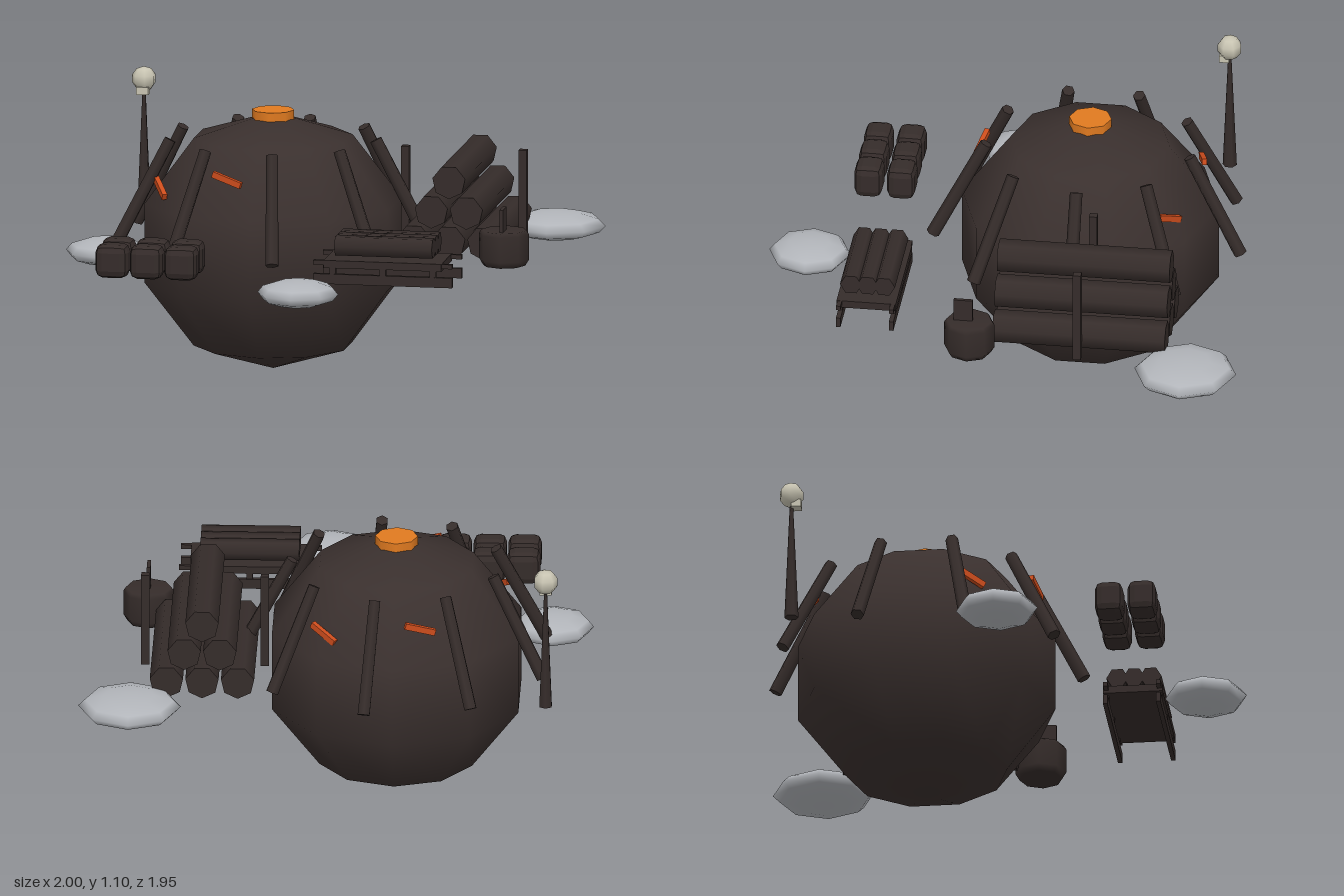
import * as THREE from 'three';
import { RoundedBoxGeometry } from 'three/addons/geometries/RoundedBoxGeometry.js';

const material = (name, color) => Object.assign(new THREE.MeshStandardMaterial({ color }), { name });

export function createModel() {
  const hide = material('dark hide', 0x3a302e);
  const wood = material('dark wood', 0x352c2a);
  const ember = material('ember orange', 0xe07a20);
  const paint = material('red paint', 0xcc4c1c);
  const bone = material('bone', 0xc8c4b2);
  const snow = material('pale grey', 0xb2b5ba);

  const model = new THREE.Group();
  model.name = 'camp';
  const add = (name, geometry, mat, x, y, z, parent = model) => {
    const mesh = new THREE.Mesh(geometry, mat);
    mesh.name = name;
    mesh.position.set(x, y, z);
    parent.add(mesh);
    return mesh;
  };
  const group = (name, x = 0, y = 0, z = 0) => {
    const g = new THREE.Group();
    g.name = name;
    g.position.set(x, y, z);
    model.add(g);
    return g;
  };

  // Round hut with glowing smoke hole
  const hut = group('hut', -0.237, 0, -0.262);
  const dome = add('dome', new THREE.SphereGeometry(0.536, 10, 5), hide, 0, 0.52, 0, hut);
  dome.scale.y = 0.957;
  dome.rotation.y = Math.PI / 2;
  add('smokeHole', new THREE.CylinderGeometry(0.084, 0.084, 0.045, 8), ember, 0, 1.02, 0, hut);

  // Nine poles leaning on the hut
  const up = new THREE.Vector3(0, 1, 0);
  for (let i = 0; i < 9; i++) {
    const a = (i * Math.PI * 2) / 9;
    const bottom = new THREE.Vector3(Math.cos(a) * 0.62, 0.535, Math.sin(a) * 0.62);
    const top = new THREE.Vector3(Math.cos(a) * 0.41, 0.935, Math.sin(a) * 0.41);
    const dir = top.clone().sub(bottom);
    const mid = bottom.clone().add(top).multiplyScalar(0.5);
    const pole = add('leaningPole', new THREE.CylinderGeometry(0.025, 0.027, dir.length(), 6), wood, mid.x, mid.y, mid.z, hut);
    pole.quaternion.setFromUnitVectors(up, dir.normalize());
  }

  // Slanting painted marks: angle in degrees, radius, height, slant
  for (const [deg, r, y, slant] of [[103, 0.455, 0.84, -0.3], [152, 0.465, 0.755, -0.45],
    [256, 0.445, 0.83, -0.3], [308, 0.445, 0.77, -0.4]]) {
    const a = THREE.MathUtils.degToRad(deg);
    const mark = add('paintMark', new THREE.BoxGeometry(0.125, 0.025, 0.02), paint, Math.cos(a) * r, y, Math.sin(a) * r, hut);
    mark.rotation.set(0, Math.PI / 2 - a, slant, 'YXZ');
  }

  // Pyramid of logs held by two stakes
  const logPile = group('logPile', 0.513, 0, -0.345);
  for (let row = 0; row < 3; row++) {
    for (let i = 0; i < 3 - row; i++) {
      const log = add('log', new THREE.CylinderGeometry(0.067, 0.067, 0.685, 7), wood,
        (i - (2 - row) / 2) * 0.14, 0.585 + row * 0.12, 0, logPile);
      log.rotation.x = Math.PI / 2;
    }
  }
  for (const s of [-1, 1]) add('stake', new THREE.BoxGeometry(0.032, 0.38, 0.032), wood, s * 0.235, 0.71, 0, logPile);

  // Chopping block with a blade stuck in it
  const block = [[0, 0.52], [0.085, 0.52], [0.1, 0.545], [0.1, 0.645], [0.09, 0.66], [0, 0.66]]
    .map(([x, y]) => new THREE.Vector2(x, y));
  add('choppingBlock', new THREE.LatheGeometry(block, 8), wood, 0.75, 0, 0.083);
  add('blade', new THREE.BoxGeometry(0.015, 0.1, 0.075), wood, 0.75, 0.7, 0.107);

  // Sled carrying three small logs
  const sled = group('sled', 0.365, 0, 0.513);
  add('deck', new THREE.BoxGeometry(0.47, 0.03, 0.235), wood, 0, 0.605, 0, sled);
  for (const s of [-1, 1]) {
    add('runner', new THREE.BoxGeometry(0.555, 0.04, 0.018), wood, 0, 0.545, s * 0.105, sled);
    add('sideRail', new THREE.BoxGeometry(0.555, 0.018, 0.018), wood, 0, 0.61, s * 0.105, sled);
    for (const x of [-0.2, 0, 0.2]) add('strut', new THREE.BoxGeometry(0.025, 0.04, 0.016), wood, x, 0.575, s * 0.105, sled);
  }
  for (const z of [-0.066, 0, 0.066]) {
    const log = add('smallLog', new THREE.CylinderGeometry(0.043, 0.043, 0.39, 6), wood, 0, 0.673, z, sled);
    log.rotation.z = Math.PI / 2;
  }

  // Six bevelled bundles
  const bundle = new RoundedBoxGeometry(0.13, 0.132, 0.11, 1, 0.03);
  bundle.computeVertexNormals();
  for (const x of [-0.71, -0.573, -0.435])
    for (const z of [0.512, 0.642]) add('bundle', bundle, wood, x, 0.593, z);

  // Skull on a tapered stake
  const totem = group('skullStake', -0.84, 0, -0.732);
  add('stakeShaft', new THREE.CylinderGeometry(0.007, 0.028, 0.48, 6), wood, 0, 0.765, 0, totem);
  add('skull', new THREE.SphereGeometry(0.05, 7, 5), bone, 0, 1.055, 0, totem);
  add('jaw', new THREE.BoxGeometry(0.048, 0.03, 0.04), bone, 0, 1.012, 0.02, totem);

  // Flat snow mounds
  for (const [x, z, r] of [[0.795, -0.78, 0.202], [0.06, 0.81, 0.161], [-0.84, 0.08, 0.161]]) {
    const mound = add('snowMound', new THREE.SphereGeometry(r, 8, 6), snow, x, 0.52, z);
    mound.scale.y = 0.05 / r + 0.02;
  }
  return model;
}
